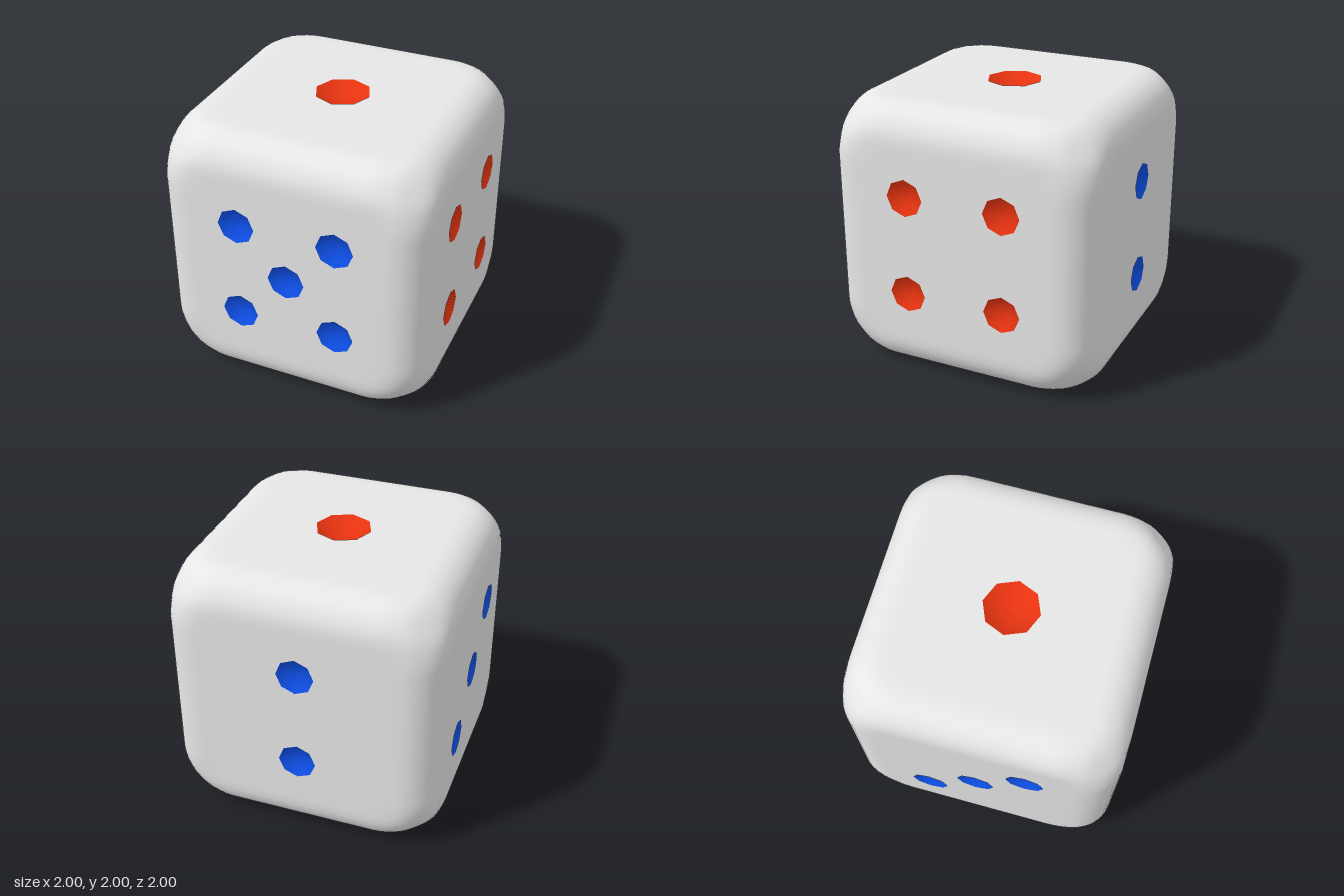
import * as THREE from 'three';
import { mergeVertices } from 'three/addons/utils/BufferGeometryUtils.js';

const GRID = 36;            // grid cells along each side of the cube
const PANEL = 10 / 18;      // half size of the flat middle of each face
const EDGE = 0.26;          // edge rounding
const A = 0.367;            // pip spacing
const PIP = 0.137;          // pip radius

// Rounded cube shell, softened further at the corners, open in the flat middles
function shellGeometry() {
  const box = new THREE.BoxGeometry(2, 2, 2, GRID, GRID, GRID).toNonIndexed();
  const pos = box.attributes.position;
  const out = [];
  const p = new THREE.Vector3(), q = new THREE.Vector3(), c = new THREE.Vector3();
  const lim = 1 - EDGE;
  const lo = new THREE.Vector3(-lim, -lim, -lim), hi = new THREE.Vector3(lim, lim, lim);
  const soft = (v) => THREE.MathUtils.smoothstep(Math.abs(v), PANEL, 1);
  for (let i = 0; i < pos.count; i += 3) {
    c.set(0, 0, 0);
    for (let j = 0; j < 3; j++) c.add(p.fromBufferAttribute(pos, i + j));
    const size = c.divideScalar(3).toArray().map(Math.abs).sort((a, b) => a - b);
    if (size[1] < PANEL) continue;
    for (let j = 0; j < 3; j++) {
      p.fromBufferAttribute(pos, i + j);
      q.copy(p).clamp(lo, hi);
      p.sub(q).setLength(EDGE).add(q);
      p.multiplyScalar(1 - 0.07 * soft(p.x) * soft(p.y) * soft(p.z));
      out.push(p.x, p.y, p.z);
    }
  }
  const geo = new THREE.BufferGeometry();
  geo.setAttribute('position', new THREE.Float32BufferAttribute(out, 3));
  const merged = mergeVertices(geo, 1e-4);
  merged.computeVertexNormals();
  return merged;
}

// Flat square with an octagonal opening for every pip
function panelGeometry(pips, radius) {
  const s = PANEL;
  const shape = new THREE.Shape([[-s, -s], [s, -s], [s, s], [-s, s]].map(([x, y]) => new THREE.Vector2(x, y)));
  for (const [x, y] of pips) {
    const hole = [];
    for (let k = 0; k < 8; k++) {
      const t = (k * Math.PI) / 4;
      hole.push(new THREE.Vector2(x + radius * Math.cos(t), y + radius * Math.sin(t)));
    }
    shape.holes.push(new THREE.Path(hole));
  }
  return new THREE.ShapeGeometry(shape);
}

// Shallow eight-sided bowl opening towards +z
function bowlGeometry(radius) {
  const profile = [[1, 0], [0.72, -0.18], [0.38, -0.31], [0, -0.36]]
    .map(([r, h]) => new THREE.Vector2(r * radius, h * radius));
  return new THREE.LatheGeometry(profile, 8).rotateX(Math.PI / 2);
}

export function createModel() {
  const white = new THREE.MeshStandardMaterial({ color: 0xe6e6e6 });
  white.name = 'white';
  const blue = new THREE.MeshStandardMaterial({ color: 0x0f52f0 });
  blue.name = 'blue';
  const red = new THREE.MeshStandardMaterial({ color: 0xee3511 });
  red.name = 'red';

  const model = new THREE.Group();
  model.name = 'die';
  const cube = new THREE.Group();
  cube.name = 'cube';
  cube.position.y = 1;
  model.add(cube);

  const shell = new THREE.Mesh(shellGeometry(), white);
  shell.name = 'roundedShell';
  cube.add(shell);

  // Faces: name, rotation about x and y, pip colour, pip radius, pip centres
  const H = Math.PI / 2;
  const corners = [[-A, -A], [A, -A], [-A, A], [A, A]];
  const faces = [
    ['top', -H, 0, red, 0.204, [[0, 0]]],
    ['back', 0, Math.PI, blue, PIP, [[0, A], [0, -A]]],
    ['left', 0, -H, blue, PIP, [[A, A], [0, 0], [-A, -A]]],
    ['right', 0, H, red, PIP, corners],
    ['front', 0, 0, blue, PIP, [...corners, [0, 0]]],
    ['bottom', H, 0, blue, PIP, [...corners, [-A, 0], [A, 0]]],
  ];
  // The model's left is +x, so the face seen from +x is its left side
  const sideNames = { left: 'right', right: 'left' };
  for (const [key, rx, ry, color, radius, pips] of faces) {
    const name = sideNames[key] ?? key;
    const face = new THREE.Group();
    face.name = name + 'Face';
    face.rotation.set(rx, ry, 0);
    const panel = new THREE.Mesh(panelGeometry(pips, radius), white);
    panel.name = name + 'Panel';
    panel.position.z = 1;
    face.add(panel);
    const bowl = bowlGeometry(radius);
    for (const [x, y] of pips) {
      const pip = new THREE.Mesh(bowl, color);
      pip.name = name + 'Pip';
      pip.position.set(x, y, 1);
      face.add(pip);
    }
    cube.add(face);
  }
  return model;
}
